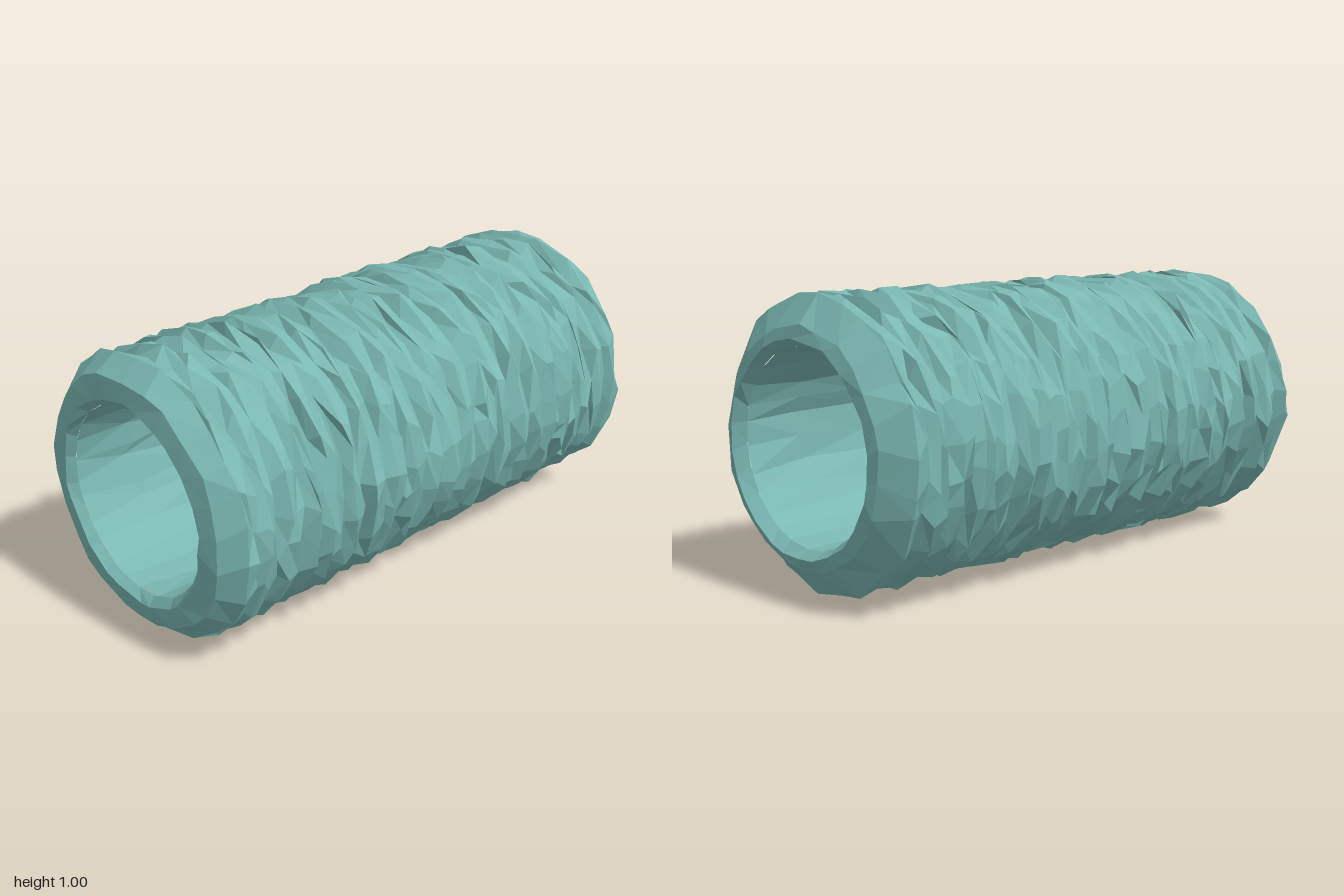
import * as THREE from 'three';

const AXIS_Y = 0.51;      // height of the tube's axis
const DEPTH_RATIO = 1.035; // the section is slightly wider than tall

// Small seeded generator, returns values in -1..1
function makeNoise(seed) {
  return () => {
    seed = (seed * 16807) % 2147483647;
    return (seed / 2147483647) * 2 - 1;
  };
}

// Flat-faceted surface through rings about the x axis, each { x, r, dx, dr }:
// dx and dr are how far its points stray along the axis and the radius
function ringSurface(rings, sides, seed) {
  const noise = makeNoise(seed);
  const positions = [], index = [];
  for (const { x, r, dx, dr } of rings) {
    const phase = noise() * Math.PI;
    for (let j = 0; j < sides; j++) {
      const a = ((j + noise() * 0.3) / sides) * Math.PI * 2;
      const drift = Math.sin(a * 2 + phase) * dx * 0.4;
      const px = THREE.MathUtils.clamp(x + drift + noise() * dx, -1, 1);
      const pr = Math.min(r + noise() * dr, 0.505);
      positions.push(px, AXIS_Y + pr * Math.cos(a), pr * DEPTH_RATIO * Math.sin(a));
    }
  }
  for (let i = 0; i < rings.length - 1; i++) {
    for (let j = 0; j < sides; j++) {
      const k = (j + 1) % sides;
      const a = i * sides + j, b = i * sides + k;
      const c = a + sides, d = b + sides;
      // Alternate the diagonal irregularly for a chipped look
      if (noise() > 0) index.push(a, b, c, b, d, c);
      else index.push(a, b, d, a, d, c);
    }
  }
  const indexed = new THREE.BufferGeometry();
  indexed.setAttribute('position', new THREE.Float32BufferAttribute(positions, 3));
  indexed.setIndex(index);
  const geometry = indexed.toNonIndexed();
  geometry.computeVertexNormals();
  return geometry;
}

export function createModel() {
  const group = new THREE.Group();
  const stone = new THREE.MeshStandardMaterial({ color: 0x7bb8b3 });
  stone.name = 'dusty teal';

  const outside = [], bore = [];
  const ring = (list, x, r, dx, dr) => list.push({ x, r, dx, dr });

  // Left mouth and its rounded rim
  ring(outside, -0.97, 0.325, 0, 0);
  ring(outside, -0.998, 0.35, 0.003, 0.006);
  ring(outside, -0.985, 0.425, 0.006, 0.008);

  // Ridged outside: crests and grooves take turns
  const ridges = 21, first = -0.91, last = 0.9;
  const pitch = (last - first) / (ridges - 1);
  for (let i = 0; i < ridges; i++) {
    const x = first + i * pitch;
    ring(outside, x - 0.011, 0.485, 0.014, 0.015);
    ring(outside, x + 0.011, 0.483, 0.014, 0.015);
    if (i < ridges - 1) ring(outside, x + pitch * 0.5, 0.46, 0.014, 0.014);
  }

  // Right rim and mouth
  ring(outside, 0.985, 0.395, 0.006, 0.01);
  ring(outside, 0.998, 0.352, 0.003, 0.008);
  ring(outside, 0.96, 0.325, 0, 0);

  // Bore running back to the left mouth
  ring(bore, 0.96, 0.325, 0, 0);
  for (const x of [0.75, 0.45, 0.15, -0.15, -0.45, -0.75]) ring(bore, x, 0.325, 0.04, 0.007);
  ring(bore, -0.97, 0.325, 0, 0);

  const parts = { ridgedShell: [outside, 26, 4217], innerBore: [bore, 26, 977] };
  for (const [name, args] of Object.entries(parts)) {
    const mesh = new THREE.Mesh(ringSurface(...args), stone);
    mesh.name = name;
    group.add(mesh);
  }
  return group;
}
